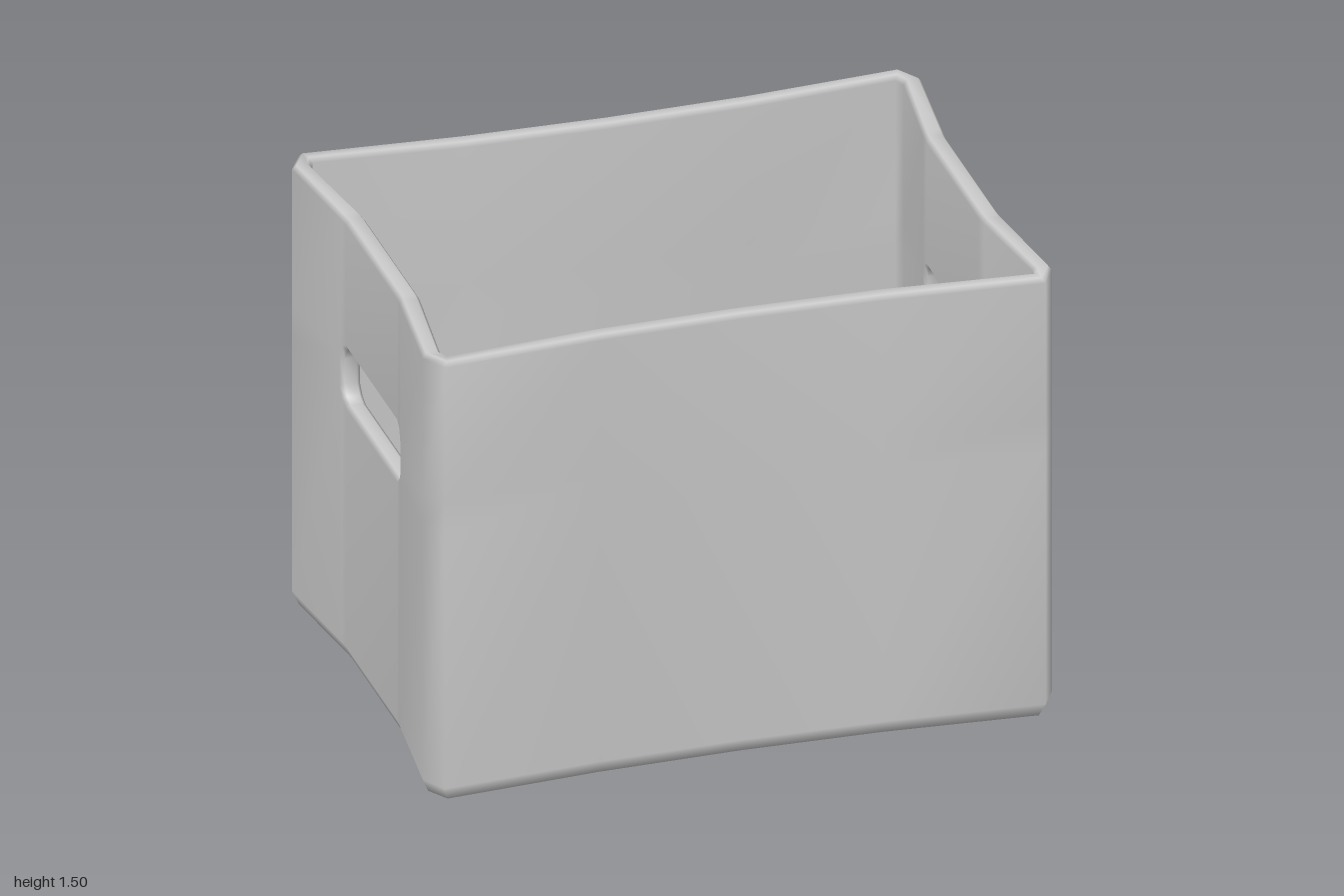
import * as THREE from 'three';
import { mergeVertices } from 'three/addons/utils/BufferGeometryUtils.js';

const HANDLE_Y = 0.975, WALL = 0.055;

// One quarter of the plan: outer x,z, inner x,z, outward direction x,z, handle half height (0 = solid)
const QUARTER = [
  [0.955, 0.262, 0.89, 0.262, 1, 0, 0.107],
  [0.957, 0.29, 0.892, 0.29, 1, 0, 0.09],
  [0.96, 0.31, 0.894, 0.31, 1, 0, WALL],
  [1, 0.665, 0.94, 0.655, 1, 0.4, 0],
  [0.955, 0.745, 0.925, 0.69, 0.8, 1, 0],
  [0.45, 0.71, 0.45, 0.65, 0, 1, 0],
];
const MIDDLE = [0, 0.7, 0, 0.64, 0, 1, 0];

const mirror = (list, sx, sz) =>
  list.map(([a, b, c, d, e, f, h]) => [a * sx, b * sz, c * sx, d * sz, e * sx, f * sz, h]);

// Full plan loop
const PLAN = [
  ...QUARTER, MIDDLE, ...mirror(QUARTER, -1, 1).reverse(),
  ...mirror(QUARTER, -1, -1), ...mirror([MIDDLE], 1, -1), ...mirror(QUARTER, 1, -1).reverse(),
];

// Horizontal loop on the outer or inner face, pushed inwards by inset; y may follow the handle edge
function section(inner, inset, y) {
  return PLAN.map((p) => {
    const [x, z] = inner ? [p[2], p[3]] : [p[0], p[1]];
    const height = typeof y === 'function' ? y(p[6] || WALL) : y;
    return [x - p[4] * inset, height, z - p[5] * inset];
  });
}
const centre = (y) => PLAN.map(() => [0, y, 0]);

// Joins two closed loops with quads
function strip(out, A, B, skip = () => false) {
  A.forEach((a, k) => {
    const n = (k + 1) % A.length;
    if (skip(k, n)) return;
    out.push(...A[n], ...a, ...B[k], ...A[n], ...B[k], ...B[n]);
  });
}

function build(name, positions) {
  let geometry = new THREE.BufferGeometry();
  geometry.setAttribute('position', new THREE.Float32BufferAttribute(positions, 3));
  geometry = mergeVertices(geometry, 1e-4);
  geometry.computeVertexNormals();
  const mesh = new THREE.Mesh(geometry, new THREE.MeshStandardMaterial({ color: 0xcccccc }));
  mesh.name = name;
  return mesh;
}

export function createModel() {
  const group = new THREE.Group();
  group.name = 'storageBox';

  // Shell: underside, rounded foot, outer wall, rim, inner wall
  const below = (h) => HANDLE_Y - h, above = (h) => HANDLE_Y + h;
  const levels = [
    centre(0),
    section(false, 0.06, 0),
    section(false, 0.02, 0.015),
    section(false, 0, 0.06),
    section(false, 0, below),
    section(false, 0, above),
    section(false, 0, 1.49),
    section(false, 0.012, 1.505),
    section(true, -0.012, 1.505),
    section(true, 0, 1.49),
    section(true, 0, above),
    section(true, 0, below),
    section(true, 0, 0.07),
  ];
  const shell = [];
  const inHandle = (k, n) => PLAN[k][6] > 0 && PLAN[n][6] > 0;
  for (let i = 0; i < levels.length - 1; i++) {
    strip(shell, levels[i], levels[i + 1], i === 4 || i === 10 ? inHandle : undefined);
  }

  // Handle openings through both end walls, with softened edges
  const edge = QUARTER.slice(0, 3);
  const corner = (sz, sy, list) => list.map((p) => ({ p, sz, sy }));
  const back = [...edge].reverse();
  const rim = [
    ...corner(1, 1, back), ...corner(-1, 1, edge),
    ...corner(-1, -1, back), ...corner(1, -1, edge),
  ];
  for (const side of [1, -1]) {
    const ring = (inner, depth, shrink) => rim.map(({ p, sz, sy }) => [
      side * (p[inner ? 2 : 0] + depth),
      HANDLE_Y + sy * (p[6] - shrink),
      side * sz * (p[1] - shrink),
    ]);
    const rings = [ring(false, 0, 0), ring(false, -0.013, 0.012), ring(true, 0.013, 0.012), ring(true, 0, 0)];
    for (let i = 0; i < 3; i++) strip(shell, rings[i], rings[i + 1]);
  }
  group.add(build('shell', shell));

  // Inside floor
  const floor = [];
  strip(floor, section(true, 0, 0.07), centre(0.07));
  group.add(build('floor', floor));

  return group;
}
